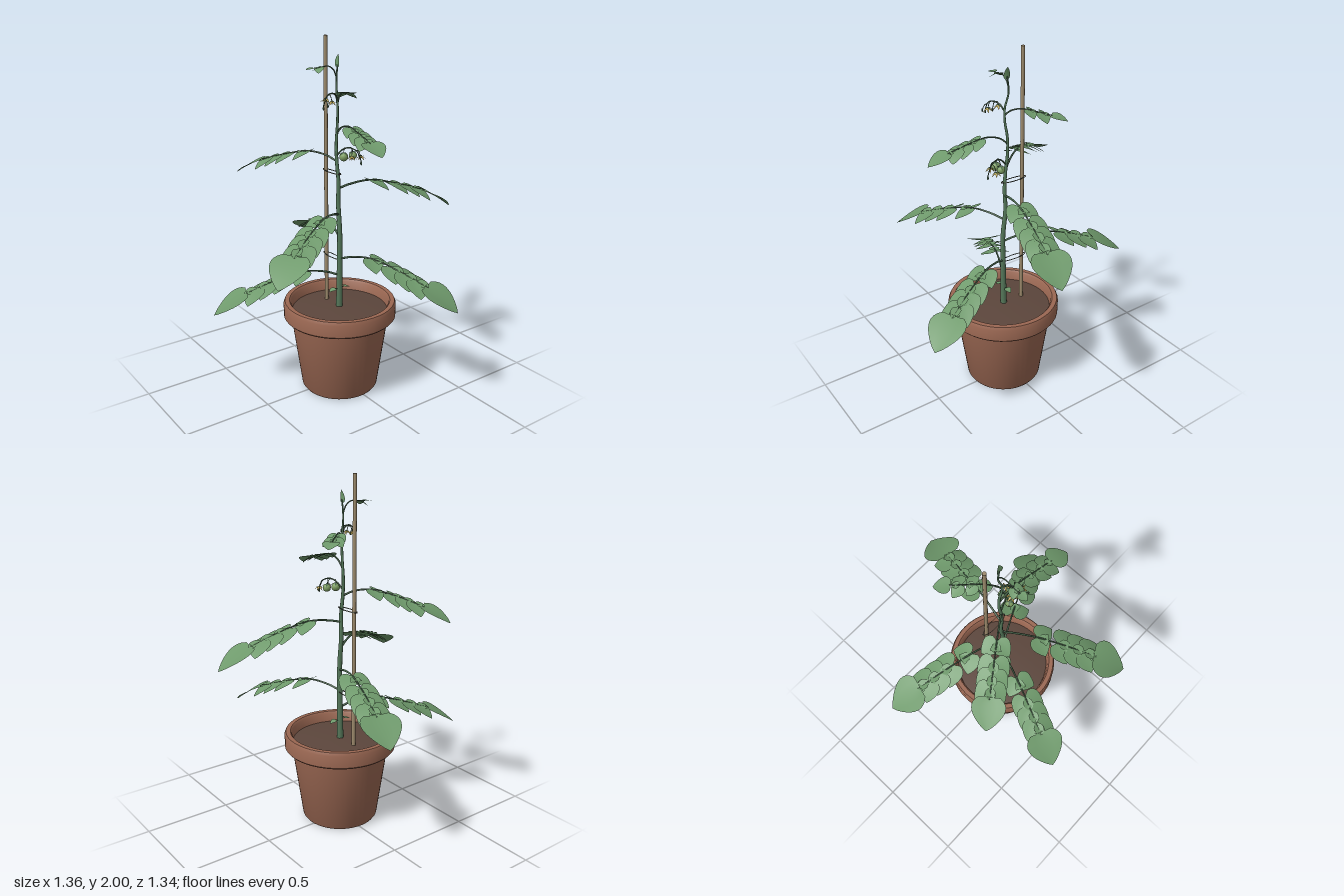
import * as THREE from 'three';
import { toCreasedNormals } from 'three/addons/utils/BufferGeometryUtils.js';

const V = (x, y, z) => new THREE.Vector3(x, y, z);
const mat = (color) => new THREE.MeshStandardMaterial({ color, side: THREE.DoubleSide });
const M = {
  pot: mat(0x9a6752), soil: mat(0x5c463c), stake: mat(0x9c8a6c), stem: mat(0x55785a), leaf: mat(0x6f9a6c),
  stalk: mat(0x466349), tie: mat(0x5a5f50), petal: mat(0xc4ab55), fruit: mat(0x7f9f62),
};

function add(parent, name, geometry, material, pos) {
  const mesh = new THREE.Mesh(geometry, material);
  mesh.name = name;
  if (pos) mesh.position.copy(pos);
  parent.add(mesh);
  return mesh;
}

// Tube whose radius shrinks from r0 to r1 along a smooth curve
function taperedTube(points, r0, r1, segs = 16, sides = 8) {
  const curve = new THREE.CatmullRomCurve3(points);
  const geo = new THREE.TubeGeometry(curve, segs, 1, sides);
  const p = geo.attributes.position, v = V(0, 0, 0);
  for (let i = 0; i < p.count; i++) {
    const t = Math.floor(i / (sides + 1)) / segs;
    const c = curve.getPointAt(t);
    v.fromBufferAttribute(p, i).sub(c).multiplyScalar(r0 + (r1 - r0) * t).add(c);
    p.setXYZ(i, v.x, v.y, v.z);
  }
  return geo;
}

// Unit blade along +z: broad rounded base, pointed tip, slight fold and droop
function bladeGeometry(width, droop) {
  const geo = new THREE.PlaneGeometry(2, 1, 4, 12);
  const p = geo.attributes.position;
  for (let i = 0; i < p.count; i++) {
    const u = p.getX(i), t = p.getY(i) + 0.5;
    const w = width * Math.pow(Math.max(0, Math.sin(Math.PI * Math.pow(t, 0.68))), 0.8);
    const lobe = -0.1 * Math.abs(u) * (1 - t) * (t > 0 ? 1 : 0);
    p.setXYZ(i, -u * w, 0.1 * Math.abs(u) * w - droop * t * t, t + lobe);
  }
  geo.computeVertexNormals();
  return geo;
}
const BLADE = bladeGeometry(0.5, 0.14);
const PETAL = bladeGeometry(0.17, 0.3);

function blade(parent, name, pos, size, yaw, pitch, roll = 0, geo = BLADE, material = M.leaf) {
  const m = add(parent, name, geo, material, pos);
  m.scale.setScalar(size);
  m.rotation.set(pitch, yaw, roll, 'YXZ');
  return m;
}

// Compound leaf: arched stalk, pairs of leaflets with tiny ones between, one end leaflet
function compoundLeaf(parent, start, tip, peak, nodes) {
  const g = new THREE.Group();
  g.name = 'compoundLeaf';
  parent.add(g);
  const dx = tip.x - start.x, dz = tip.z - start.z;
  const L = Math.hypot(dx, dz), yaw = Math.atan2(dx, dz), drop = peak - tip.y;
  const at = (f, y) => V(start.x + dx * f, y, start.z + dz * f);
  const pts = [start, at(0.1, start.y + (peak - start.y) * 0.65), at(0.27, peak),
    at(0.52, peak - drop * 0.2), at(0.76, peak - drop * 0.5)];
  const curve = new THREE.CatmullRomCurve3(pts);
  add(g, 'leafStalk', taperedTube(pts, 0.003 + 0.005 * L, 0.0025, 20, 6), M.stalk);
  // point on the curve at horizontal fraction f
  const onStalk = (f) => {
    let lo = 0, hi = 1;
    for (let i = 0; i < 14; i++) {
      const m = (lo + hi) / 2, q = curve.getPoint(m);
      if (((q.x - start.x) * dx + (q.z - start.z) * dz) / (L * L) < f) lo = m; else hi = m;
    }
    return curve.getPoint(lo);
  };
  const size = 0.032 + 0.128 * L;
  nodes.forEach((f, i) => {
    const pos = onStalk(f);
    for (const s of [-1, 1]) {
      blade(g, 'sideLeaflet', pos, size * (i === 0 ? 0.95 : 1.05), yaw + s * 0.85, 0.2 + f * 0.3, s * 0.12);
      blade(g, 'tinyLeaflet', onStalk(f + 0.06), size * 0.3, yaw + s * 1.1, 0);
    }
  });
  const end = onStalk(0.74), d = tip.clone().sub(end);
  blade(g, 'endLeaflet', end, d.length(), yaw, Math.atan2(-d.y, Math.hypot(d.x, d.z)) - 0.12);
}

// Ring of narrow petals or sepals
function star(parent, name, pos, size, count, pitch, material) {
  for (let i = 0; i < count; i++) {
    blade(parent, name, pos, size, (i / count) * Math.PI * 2, pitch, 0, PETAL, material);
  }
}

// Flower truss: arched stalk with hanging flowers, fruits and buds
function truss(parent, path, items) {
  const g = new THREE.Group();
  g.name = 'flowerTruss';
  parent.add(g);
  add(g, 'trussStalk', taperedTube(path, 0.005, 0.0025, 20, 6), M.stalk);
  const curve = new THREE.CatmullRomCurve3(path);
  for (const [kind, t, pos, r] of items) {
    const a = curve.getPointAt(t);
    const mid = a.clone().lerp(pos, 0.5).add(V(0, 0.012, 0));
    add(g, 'pedicel', taperedTube([a, mid, pos], 0.0025, 0.002, 8, 5), M.stalk);
    if (kind === 'fruit') {
      add(g, 'fruit', new THREE.SphereGeometry(r, 16, 12), M.fruit, pos.clone().add(V(0, -r, 0)));
      star(g, 'sepal', pos, r * 1.3, 5, 0.1, M.stalk);
    } else if (kind === 'flower') {
      star(g, 'petal', pos, r, 6, 0.25, M.petal);
      star(g, 'sepal', pos.clone().add(V(0, 0.003, 0)), r * 0.6, 5, 0, M.stalk);
      add(g, 'flowerCentre', new THREE.ConeGeometry(0.006, 0.022, 8).rotateX(Math.PI), M.petal, pos.clone().add(V(0, -0.011, 0)));
    } else {
      add(g, 'bud', new THREE.SphereGeometry(r, 8, 6).scale(0.7, 1.4, 0.7), M.stalk, pos);
    }
  }
}

export function createModel() {
  const root = new THREE.Group();
  root.name = 'pottedPlant';
  const cx = -0.018, cz = 0.024;

  // Pot with thick rim, and soil
  const profile = [[0, 0], [0.21, 0], [0.22, 0.014], [0.278, 0.43], [0.312, 0.434], [0.321, 0.444], [0.322, 0.515],
    [0.314, 0.533], [0.288, 0.533], [0.279, 0.522], [0.27, 0.45]].map(([r, y]) => new THREE.Vector2(r, y));
  add(root, 'pot', toCreasedNormals(new THREE.LatheGeometry(profile, 48), 0.6), M.pot, V(cx, 0, cz));
  const soil = [[0.275, 0.472], [0.2, 0.48], [0.1, 0.486], [0, 0.488]].map(([r, y]) => new THREE.Vector2(r, y));
  add(root, 'soil', new THREE.LatheGeometry(soil, 40), M.soil, V(cx, 0, cz));

  // Stake and the two ties holding the stem to it
  add(root, 'stake', new THREE.CylinderGeometry(0.0105, 0.0115, 1.54, 12), M.stake, V(cx, 1.23, -0.105));
  for (const y of [0.775, 1.27]) {
    const tie = add(root, 'tie', new THREE.TorusGeometry(0.08, 0.003, 6, 32).rotateX(Math.PI / 2), M.tie, V(cx, y, -0.048));
    tie.scale.set(0.25, 1, 1);
  }

  // Winding main stem
  const stemPts = [[-0.018, 0.46, 0.02], [-0.018, 0.75, 0.024], [-0.018, 0.94, 0.024], [-0.016, 1.1, 0.008],
    [-0.018, 1.23, 0.012], [-0.022, 1.34, 0.002], [-0.018, 1.43, -0.008], [-0.014, 1.53, -0.004], [-0.02, 1.62, 0.008],
    [-0.022, 1.69, 0.006], [-0.014, 1.77, -0.012], [-0.012, 1.86, -0.003]].map((p) => V(...p));
  add(root, 'mainStem', taperedTube(stemPts, 0.019, 0.004, 70, 10), M.stem);
  const stemCurve = new THREE.CatmullRomCurve3(stemPts);
  const samples = stemCurve.getPoints(300);
  const onStem = (y) => samples.reduce((a, b) => (Math.abs(b.y - y) < Math.abs(a.y - y) ? b : a)).clone();

  // Leaves: stem height, tip, highest point, leaflet pair positions
  const large = [0.28, 0.44, 0.55, 0.65], medium = [0.36, 0.52, 0.64], small = [0.38, 0.58];
  for (const [y, tip, peak, nodes] of [
    [0.68, [-0.68, 0.51, -0.25], 0.72, large],
    [0.78, [0.29, 0.605, 0.665], 0.815, large],
    [0.9, [0.2, 0.73, -0.675], 0.935, large],
    [1.04, [-0.635, 0.865, 0.37], 1.07, large],
    [1.19, [0.68, 1.005, 0.16], 1.215, large],
    [1.34, [-0.37, 1.235, -0.485], 1.385, large],
    [1.49, [-0.07, 1.455, 0.45], 1.55, medium],
    [1.65, [0.23, 1.65, -0.21], 1.695, small],
    [1.79, [-0.2, 1.84, -0.02], 1.85, [0.55]],
  ]) compoundLeaf(root, onStem(y), V(...tip), peak, nodes);

  // Seed leaves near the soil and the young leaf at the top
  for (const s of [-1, 1]) {
    const a = onStem(0.595), b = a.clone().add(V(s * 0.03, 0.012, 0));
    add(root, 'seedLeafStalk', taperedTube([a, b], 0.003, 0.002, 4, 5), M.stalk);
    blade(root, 'seedLeaf', b, 0.042, s * Math.PI / 2, 0.15);
  }
  const bud = blade(root, 'youngLeaf', V(-0.013, 1.845, -0.003), 0.065, Math.PI / 2, -Math.PI / 2 - 0.05);
  bud.scale.x = 0.04;

  // Upper truss in bloom, lower truss setting fruit
  truss(root, [onStem(1.67), V(-0.045, 1.705, 0.02), V(-0.085, 1.715, 0.035), V(-0.12, 1.7, 0.045), V(-0.138, 1.66, 0.05)], [
    ['flower', 0.4, V(-0.09, 1.685, 0), 0.034],
    ['flower', 0.6, V(-0.095, 1.68, 0.062), 0.034],
    ['bud', 0.45, V(-0.055, 1.685, 0.06), 0.007],
    ['bud', 0.8, V(-0.13, 1.66, 0.075), 0.007],
    ['bud', 1, V(-0.14, 1.645, 0.05), 0.007],
  ]);
  truss(root, [onStem(1.37), V(-0.01, 1.41, 0.04), V(0.005, 1.425, 0.08), V(0.022, 1.41, 0.125), V(0.03, 1.365, 0.15)], [
    ['fruit', 0.35, V(-0.022, 1.4, 0.066), 0.024],
    ['fruit', 0.45, V(0.035, 1.4, 0.072), 0.022],
    ['flower', 0.6, V(-0.005, 1.385, 0.115), 0.032],
    ['flower', 0.7, V(0.055, 1.38, 0.115), 0.032],
    ['bud', 1, V(0.03, 1.35, 0.152), 0.008],
  ]);
  return root;
}
